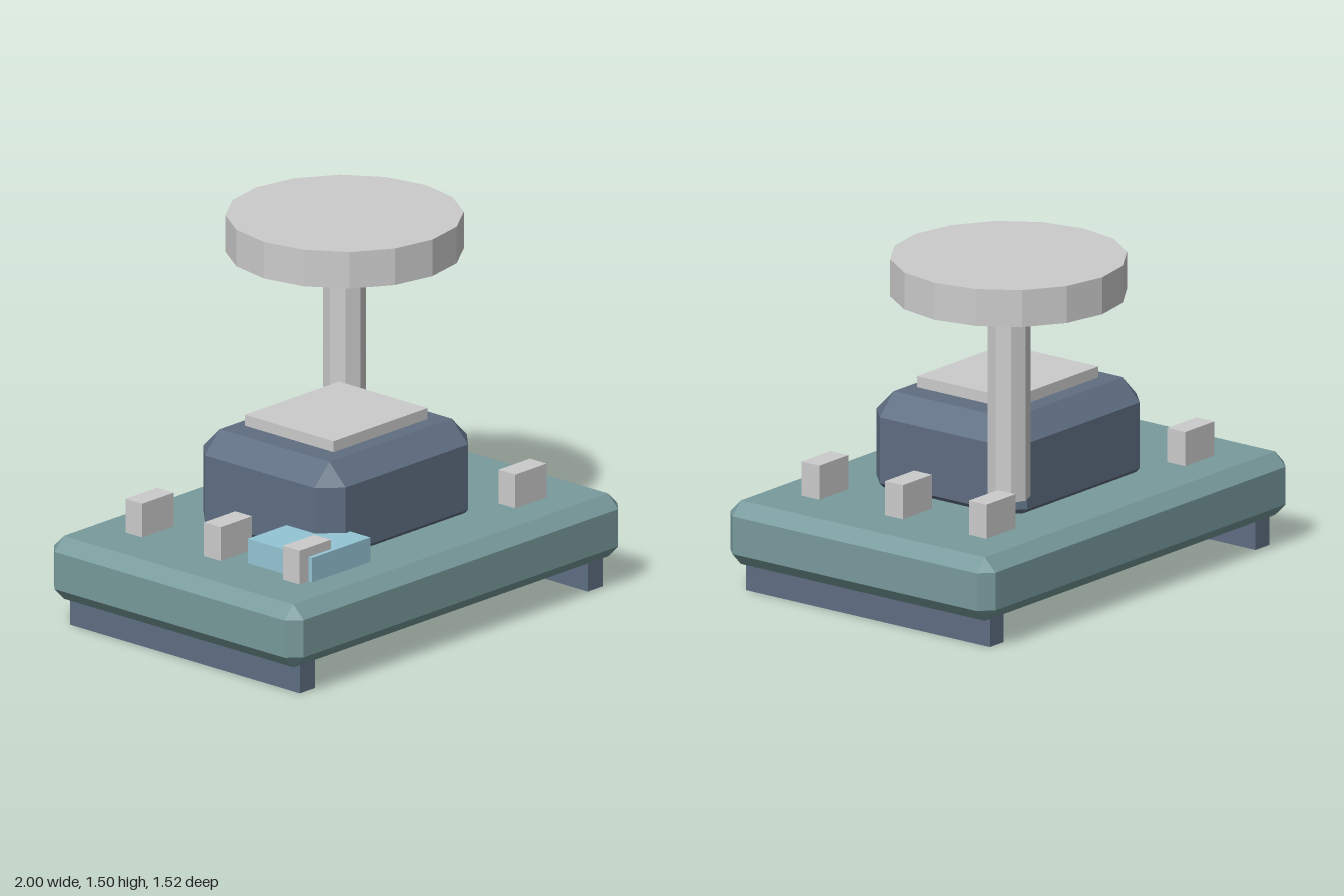
import * as THREE from 'three';
import { ConvexGeometry } from 'three/addons/geometries/ConvexGeometry.js';

const material = (color) => new THREE.MeshStandardMaterial({ color, flatShading: true });

// Box with every edge cut by one flat bevel.
function bevelledBox(w, h, d, bevel) {
  const half = [w / 2, h / 2, d / 2];
  const points = [];
  for (const sx of [-1, 1]) for (const sy of [-1, 1]) for (const sz of [-1, 1]) {
    for (let axis = 0; axis < 3; axis++) {
      const [x, y, z] = half.map((v, i) => (i === axis ? v : v - bevel));
      points.push(new THREE.Vector3(sx * x, sy * y, sz * z));
    }
  }
  return new ConvexGeometry(points);
}

export function createModel() {
  const model = new THREE.Group();
  model.name = 'machine';
  const teal = material(0x789a9c);
  const slate = material(0x5f6e82);
  const blue = material(0x94c4d4);
  const grey = material(0xcccccc);

  function add(name, geometry, mat, x, y, z) {
    const mesh = new THREE.Mesh(geometry, mat);
    mesh.name = name;
    mesh.position.set(x, y, z);
    model.add(mesh);
  }

  // Base slab and the bevelled housing sunk slightly into it
  add('base', bevelledBox(2, 0.27, 1.38, 0.055), teal, 0, 0.255, 0.073);
  add('housing', bevelledBox(0.915, 0.46, 0.785, 0.09), slate, 0, 0.55, 0.072);
  add('topPlate', new THREE.BoxGeometry(0.565, 0.047, 0.49), grey, 0, 0.811, 0.075);

  // Runners and rows of blocks along both sides
  for (const side of [-1, 1]) {
    const label = side > 0 ? 'left' : 'right';
    add(label + 'Runner', new THREE.BoxGeometry(0.09, 0.13, 1.27), slate, side * 0.865, 0.065, 0.075);
    [-0.36, 0.075, 0.51].forEach((z, i) => {
      const x = side > 0 ? 0.645 : -0.65;
      add(label + 'Block' + (i + 1), new THREE.BoxGeometry(0.188, 0.15, 0.092), grey, x, 0.46, z);
    });
  }

  // Low box at the front corner
  add('controlBox', new THREE.BoxGeometry(0.35, 0.11, 0.355), blue, -0.515, 0.44, 0.398);

  // Octagonal post carrying a broad disc
  add('post', new THREE.CylinderGeometry(0.088, 0.088, 0.87, 8), grey, 0.43, 0.905, -0.275);
  add('disc', new THREE.CylinderGeometry(0.485, 0.485, 0.157, 16), grey, 0.43, 1.417, -0.275);

  return model;
}
